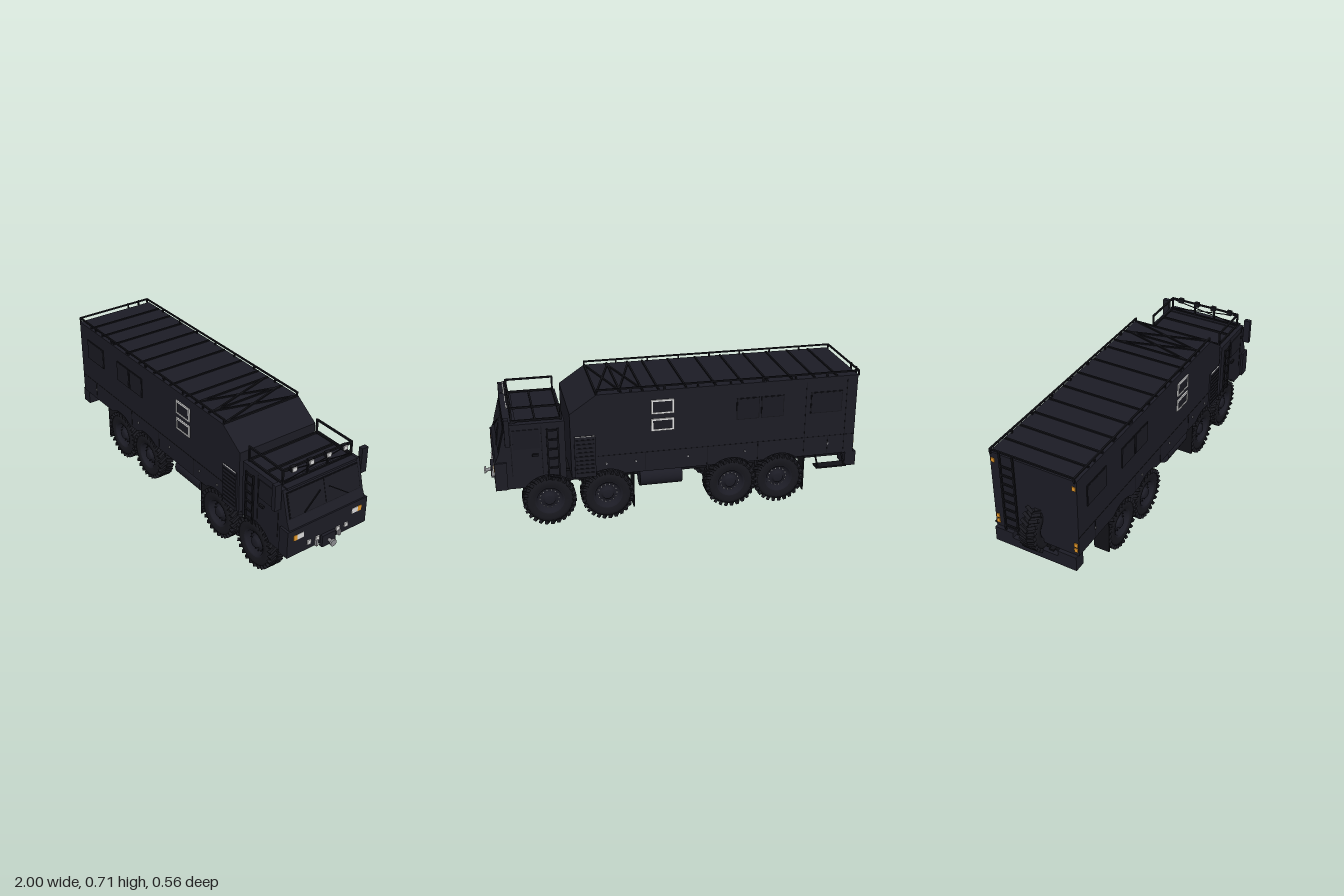
import * as THREE from 'three';
import { mergeGeometries } from 'three/addons/utils/BufferGeometryUtils.js';

const mat = (name, color) => Object.assign(new THREE.MeshStandardMaterial({ color }), { name });
const paint = mat('dark paint', 0x1c1c25);
const trim = mat('black trim', 0x121217);
const glass = mat('dark glass', 0x1a1a22);
const rubber = mat('tyre rubber', 0x18181e);
const silver = mat('silver', 0xdcdcdc);
const steel = mat('grey steel', 0x8e8e92);
const amber = mat('amber lens', 0xe89a2a);

const V = (x, y, z) => new THREE.Vector3(x, y, z);

function add(parent, name, geo, material, x = 0, y = 0, z = 0) {
  const m = new THREE.Mesh(geo, material);
  m.name = name;
  m.position.set(x, y, z);
  parent.add(m);
  return m;
}

const box = (parent, name, material, w, h, d, x, y, z) =>
  add(parent, name, new THREE.BoxGeometry(w, h, d), material, x, y, z);

// Square bar between two points
function barGeo(a, b, t) {
  const g = new THREE.BoxGeometry(t, t, a.distanceTo(b) + t);
  const o = new THREE.Object3D();
  o.position.copy(a).add(b).multiplyScalar(0.5);
  o.lookAt(b);
  o.updateMatrix();
  return g.applyMatrix4(o.matrix);
}
const bars = (parent, name, material, list, t) =>
  add(parent, name, mergeGeometries(list.map(([a, b]) => barGeo(a, b, t))), material);

// Side profile extruded across the vehicle
function slab(parent, name, shape, width) {
  const g = new THREE.ExtrudeGeometry(shape, { depth: width, bevelEnabled: false, curveSegments: 16 });
  return add(parent, name, g.translate(0, 0, -width / 2), paint);
}

const WHEEL_Y = 0.135, ARCH = 0.145;
const AXLES = [-0.51, -0.25, 0.395, 0.69];

// Tyre with chevron lugs, recessed rim, hub and bolts; outer face toward +z
function makeWheel(name, boltMaterial) {
  const wheel = new THREE.Group();
  wheel.name = name;
  const pts = [[0.068, -0.036], [0.1, -0.042], [0.12, -0.036], [0.125, -0.02], [0.125, 0.02],
    [0.12, 0.036], [0.1, 0.042], [0.073, 0.038], [0.068, 0.03]].map(p => new THREE.Vector2(...p));
  const parts = [new THREE.LatheGeometry(pts, 36).rotateX(Math.PI / 2)];
  for (let i = 0; i < 26; i++) for (const s of [-1, 1]) {
    const lug = new THREE.BoxGeometry(0.016, 0.02, 0.046);
    lug.rotateY(s * 0.45).translate(0, 0.124, s * 0.021);
    parts.push(lug.rotateZ((i + (s > 0 ? 0.5 : 0)) * Math.PI * 2 / 26));
  }
  add(wheel, 'tyre', mergeGeometries(parts), rubber);
  const rim = [[0, 0.036], [0.022, 0.036], [0.028, 0.03], [0.034, 0.016], [0.056, 0.012], [0.066, 0.036], [0.074, 0.039]]
    .reverse().map(p => new THREE.Vector2(...p));
  add(wheel, 'rim', new THREE.LatheGeometry(rim, 32).rotateX(Math.PI / 2), paint);
  add(wheel, 'inner disc', new THREE.CylinderGeometry(0.07, 0.07, 0.04, 24).rotateX(Math.PI / 2), trim, 0, 0, -0.012);
  const bolts = [];
  for (let i = 0; i < 14; i++) {
    const a = i * Math.PI / 7;
    bolts.push(new THREE.CylinderGeometry(0.003, 0.003, 0.008, 6).rotateX(Math.PI / 2)
      .translate(Math.cos(a) * 0.048, Math.sin(a) * 0.048, 0.015));
  }
  add(wheel, 'wheel bolts', mergeGeometries(bolts), boltMaterial);
  return wheel;
}

function makeBody(root) {
  const g = new THREE.Group();
  g.name = 'living box';
  root.add(g);
  const s = new THREE.Shape();
  s.moveTo(-0.915, 0.682);
  s.lineTo(-0.915, 0.25);
  const t = Math.asin((0.25 - WHEEL_Y) / ARCH);
  for (const x of AXLES.slice(0, 3)) s.absarc(x, WHEEL_Y, ARCH, Math.PI - t, t, true);
  [[0.575, 0.25], [0.575, 0.59], [0.44, 0.682]].forEach(p => s.lineTo(...p));
  slab(g, 'box shell', s, 0.46);

  // Roof ribs and cross braces
  const ribs = [-0.8, -0.68, -0.56, -0.43, -0.3, -0.16, -0.01, 0.13, 0.21, 0.32, 0.44]
    .map(x => [V(x, 0.684, -0.22), V(x, 0.684, 0.22)]);
  for (const x of [0.21, 0.32]) for (const q of [-1, 1])
    ribs.push([V(x, 0.684, -0.2 * q), V(x + 0.115, 0.684, 0.2 * q)]);
  bars(g, 'roof ribs', trim, ribs, 0.009);

  // Roof rail and its posts
  const rail = [[V(-0.92, 0.702, -0.222), V(-0.92, 0.702, 0.222)]];
  for (const z of [-0.222, 0.222]) {
    rail.push([V(-0.92, 0.702, z), V(0.44, 0.702, z)]);
    for (let i = 0; i < 9; i++) rail.push([V(-0.92 + i * 0.17, 0.68, z), V(-0.92 + i * 0.17, 0.702, z)]);
  }
  bars(g, 'roof rail', trim, rail, 0.008);

  // Rear ladder
  const ladder = [-0.097, -0.168].map(z => [V(-0.928, 0.25, z), V(-0.928, 0.7, z)]);
  for (let y = 0.28; y < 0.68; y += 0.05) ladder.push([V(-0.928, y, -0.097), V(-0.928, y, -0.168)]);
  bars(g, 'rear ladder', trim, ladder, 0.008);

  for (const q of [-1, 1]) {
    // Silver window frames
    for (const [y, h] of [[0.595, 0.066], [0.5, 0.056]]) {
      const a = V(0.058, y - h / 2, q * 0.232), b = V(0.165, y - h / 2, q * 0.232);
      const c = V(0.165, y + h / 2, q * 0.232), d = V(0.058, y + h / 2, q * 0.232);
      bars(g, 'silver window frame', silver, [[a, b], [b, c], [c, d], [d, a]], 0.009);
      box(g, 'small window', glass, 0.1, h, 0.006, 0.112, y, q * 0.231);
    }
    // Side windows
    for (const [x, w] of [[-0.75, 0.17], [-0.46, 0.12], [-0.33, 0.12]]) {
      box(g, 'window frame', trim, w, 0.115, 0.006, x, 0.547, q * 0.231);
      box(g, 'window pane', glass, w - 0.008, 0.107, 0.009, x, 0.547, q * 0.231);
    }
    // Seams and locker latches
    const seams = [[V(-0.91, 0.355, q * 0.23), V(0.44, 0.355, q * 0.23)]];
    for (const x of [-0.77, -0.39, -0.12, 0.2]) seams.push([V(x, 0.26, q * 0.23), V(x, 0.355, q * 0.23)]);
    if (q < 0) for (const x of [-0.86, -0.64]) seams.push([V(x, 0.27, q * 0.23), V(x, 0.66, q * 0.23)]);
    bars(g, 'panel seams', trim, seams, 0.003);
    for (const x of [-0.77, -0.32, -0.02, 0.25, 0.4])
      box(g, 'locker latch', steel, 0.007, 0.009, 0.006, x, 0.312, q * 0.232);
    // Louvred engine intake
    box(g, 'intake panel', paint, 0.105, 0.22, 0.016, 0.505, 0.36, q * 0.23);
    for (let i = 0; i < 9; i++) box(g, 'intake louvre', trim, 0.092, 0.006, 0.006, 0.505, 0.275 + i * 0.022, q * 0.238);
    box(g, 'intake top edge', silver, 0.1, 0.003, 0.004, 0.505, 0.47, q * 0.237);
    // Rear lamps
    for (const y of [0.28, 0.31, 0.64]) box(g, 'rear amber lamp', amber, 0.006, 0.022, 0.018, -0.916, y, q * 0.215);
  }
}

function makeCab(root) {
  const g = new THREE.Group();
  g.name = 'cab';
  root.add(g);
  const s = new THREE.Shape();
  s.moveTo(0.888, 0.56);
  s.lineTo(0.6, 0.56);
  s.absarc(0.69, WHEEL_Y, ARCH, Math.PI - Math.acos(0.09 / ARCH), Math.asin(0.085 / ARCH), true);
  [[0.93, 0.22], [0.945, 0.37], [0.928, 0.41]].forEach(p => s.lineTo(...p));
  slab(g, 'cab shell', s, 0.46);
  box(g, 'front panel', paint, 0.06, 0.145, 0.485, 0.922, 0.295, 0);
  box(g, 'roof lip', paint, 0.06, 0.012, 0.42, 0.865, 0.56, 0);

  // Windshield with wipers, tilted to the cab slope
  const w = new THREE.Group();
  w.name = 'windshield';
  w.position.set(0.91, 0.48, 0);
  w.rotation.z = 0.26;
  g.add(w);
  box(w, 'windshield frame', trim, 0.005, 0.13, 0.428, 0, 0, 0);
  for (const q of [-1, 1]) {
    box(w, 'windshield pane', glass, 0.009, 0.122, 0.208, 0, 0, q * 0.106);
    bars(w, 'wiper', trim, [[V(0.008, -0.058, q * 0.13), V(0.008, 0.012, q * 0.03)]], 0.005);
  }

  // Roof rack with lamps
  const rack = [];
  for (const q of [-1, 1]) {
    const z = q * 0.205;
    rack.push([V(0.615, 0.638, z), V(0.855, 0.638, z)], [V(0.615, 0.57, z), V(0.855, 0.57, z)]);
    for (const x of [0.615, 0.855]) rack.push([V(x, 0.56, z), V(x, 0.638, z)]);
    rack.push([V(0.855, 0.57, q * 0.06), V(0.855, 0.638, q * 0.06)]);
  }
  for (const x of [0.615, 0.74, 0.855]) rack.push([V(x, 0.568, -0.205), V(x, 0.568, 0.205)]);
  rack.push([V(0.855, 0.638, -0.205), V(0.855, 0.638, 0.205)]);
  bars(g, 'cab roof rack', trim, rack, 0.009);
  bars(g, 'rack braces', trim, [-1, 1].map(q => [V(0.855, 0.575, -0.195 * q), V(0.855, 0.63, 0.195 * q)]), 0.004);
  for (const z of [-0.152, -0.052, 0.052, 0.152]) {
    box(g, 'roof lamp housing', trim, 0.02, 0.026, 0.028, 0.86, 0.633, z);
    box(g, 'roof lamp', silver, 0.006, 0.022, 0.024, 0.872, 0.633, z);
  }

  for (const q of [-1, 1]) {
    // Mirrors
    box(g, 'mirror', paint, 0.024, 0.137, 0.036, 0.882, 0.535, q * 0.259);
    bars(g, 'mirror arms', trim, [0.49, 0.55].map(y => [V(0.87, y, q * 0.22), V(0.88, y, q * 0.25)]), 0.009);
    // Side window, door seams and access ladder
    box(g, 'door window', glass, 0.13, 0.1, 0.006, 0.79, 0.48, q * 0.231);
    bars(g, 'door seams', trim, [0.715, 0.865].map(x => [V(x, 0.29, q * 0.23), V(x, 0.545, q * 0.23)]), 0.004);
    box(g, 'door handle', trim, 0.03, 0.012, 0.014, 0.75, 0.395, q * 0.234);
    const ladder = [0.635, 0.688].map(x => [V(x, 0.26, q * 0.238), V(x, 0.525, q * 0.238)]);
    for (let i = 0; i < 6; i++) ladder.push([V(0.635, 0.27 + i * 0.05, q * 0.238), V(0.688, 0.27 + i * 0.05, q * 0.238)]);
    bars(g, 'cab ladder', trim, ladder, 0.008);
    // Headlights, fog lamps and tow hooks
    box(g, 'headlight', silver, 0.005, 0.029, 0.038, 0.9515, 0.322, q * 0.167);
    box(g, 'turn signal', amber, 0.005, 0.029, 0.022, 0.9515, 0.322, q * 0.196);
    for (const z of [0.063, 0.114]) box(g, 'fog lamp', silver, 0.009, 0.022, 0.021, 0.954, 0.262, q * z);
    box(g, 'tow hook', steel, 0.018, 0.032, 0.012, 0.956, 0.24, q * 0.07);
  }

  // Winch and front coupling
  box(g, 'winch plate', paint, 0.02, 0.064, 0.082, 0.957, 0.236, 0);
  add(g, 'coupling shaft', new THREE.CylinderGeometry(0.009, 0.009, 0.05, 12).rotateZ(Math.PI / 2), steel, 0.97, 0.232, 0);
  add(g, 'coupling disc', new THREE.CylinderGeometry(0.018, 0.018, 0.01, 16).rotateZ(Math.PI / 2), steel, 0.995, 0.232, 0);
}

function makeChassis(root) {
  const g = new THREE.Group();
  g.name = 'chassis';
  root.add(g);
  for (const q of [-1, 1]) {
    box(g, 'frame rail', trim, 1.82, 0.055, 0.025, -0.01, 0.2, q * 0.08);
    for (const x of [-0.645, 0.262]) box(g, 'mud flap', trim, 0.006, 0.19, 0.085, x, 0.15, q * 0.187);
    add(g, 'side tank', new THREE.CylinderGeometry(0.05, 0.05, 0.22, 24).rotateZ(Math.PI / 2), paint, 0.115, 0.195, q * 0.165);
    box(g, 'tank mount', trim, 0.2, 0.04, 0.1, 0.115, 0.235, q * 0.14);
    box(g, 'rear corner box', paint, 0.06, 0.08, 0.1, -0.905, 0.21, q * 0.175);
  }
  for (const x of [-0.88, -0.62, -0.38, -0.12, 0.1, 0.27, 0.54, 0.82]) box(g, 'cross member', trim, 0.035, 0.05, 0.16, x, 0.2, 0);
  box(g, 'rear bumper', paint, 0.03, 0.05, 0.44, -0.92, 0.195, 0);
  box(g, 'gearbox', trim, 0.16, 0.07, 0.11, 0.54, 0.19, 0);
  bars(g, 'drive shaft', steel, [[V(-0.2, 0.15, 0.02), V(0.36, 0.14, 0.02)]], 0.014);
  add(g, 'exhaust pipe', new THREE.CylinderGeometry(0.01, 0.01, 0.16, 12).rotateZ(Math.PI / 2 - 0.08), steel, -0.06, 0.145, 0.06);

  // Axles, differentials and wheels
  for (const x of AXLES) {
    add(g, 'axle', new THREE.CylinderGeometry(0.015, 0.015, 0.32, 12).rotateX(Math.PI / 2), trim, x, WHEEL_Y, 0);
    add(g, 'differential', new THREE.SphereGeometry(0.036, 20, 14), trim, x, WHEEL_Y, 0.008);
    box(g, 'axle mount', trim, 0.07, 0.035, 0.12, x, 0.165, 0);
    for (const q of [-1, 1]) {
      bars(g, 'suspension arm', trim, [[V(x, 0.145, q * 0.13), V(x, 0.2, q * 0.09)]], 0.016);
      const wheel = makeWheel('wheel', q < 0 ? steel : trim);
      wheel.position.set(x, WHEEL_Y, q * 0.187);
      if (q < 0) wheel.rotation.y = Math.PI;
      g.add(wheel);
    }
  }

  // Spare wheel standing at the tail
  const spare = makeWheel('spare wheel', trim);
  spare.position.set(-0.866, 0.318, 0);
  g.add(spare);

  // Fold-out entry step
  box(g, 'entry step', trim, 0.165, 0.008, 0.055, -0.778, 0.2, -0.257);
  bars(g, 'step struts', trim, [-0.85, -0.705].map(x => [V(x, 0.25, -0.235), V(x, 0.202, -0.275)]), 0.007);
}

export function createModel() {
  const root = new THREE.Group();
  root.name = 'expedition truck';
  const truck = new THREE.Group();
  truck.name = 'truck';
  truck.position.z = 0.005;
  root.add(truck);
  makeBody(truck);
  makeCab(truck);
  makeChassis(truck);
  return root;
}
